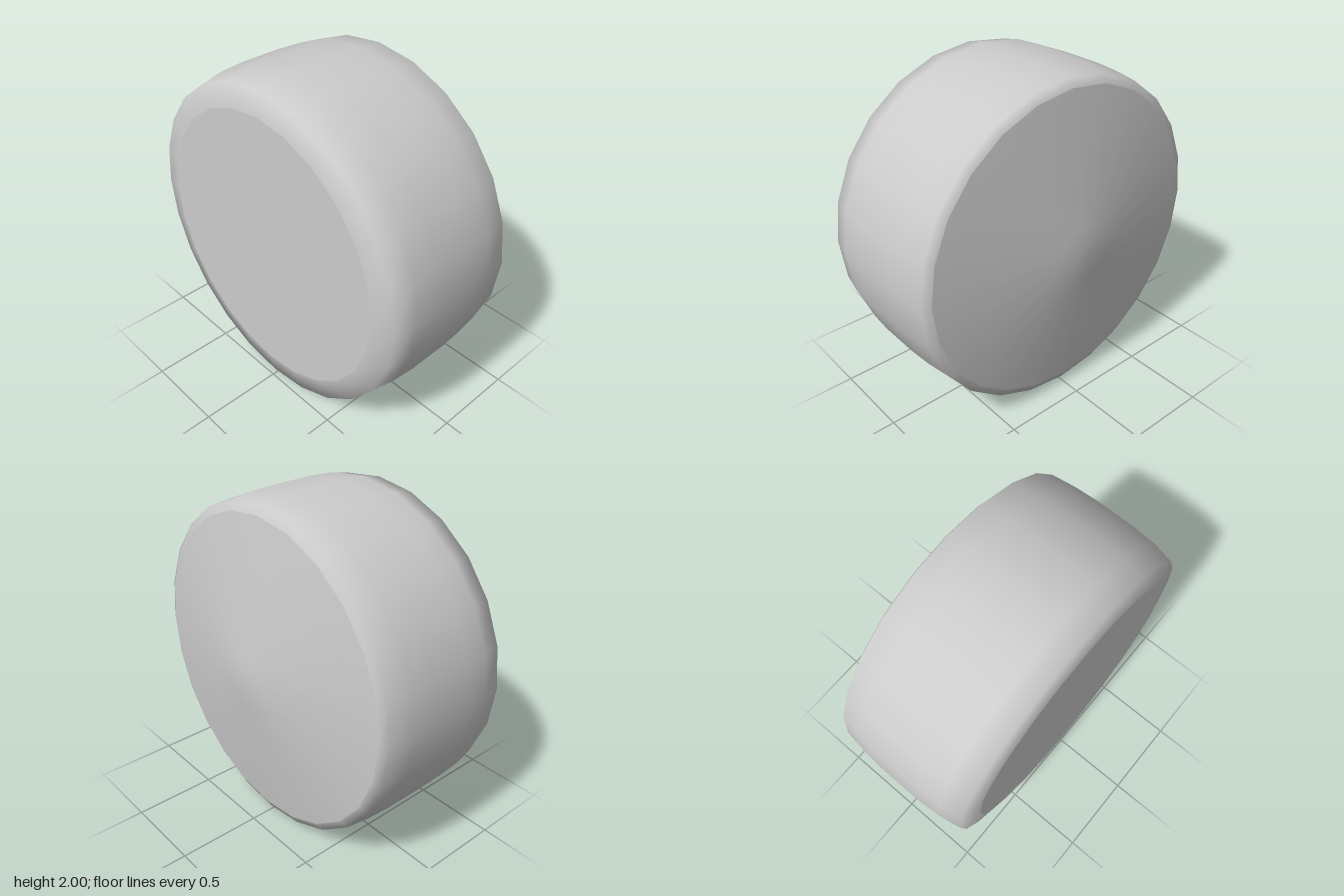
import * as THREE from 'three';

const SIDES = 24;

// Turns a profile of [radius, x] points around the x axis.
function turned(name, profile, material) {
  const geometry = new THREE.LatheGeometry(profile.map(([r, x]) => new THREE.Vector2(r, x)), SIDES);
  geometry.rotateZ(-Math.PI / 2);
  const mesh = new THREE.Mesh(geometry, material);
  mesh.name = name;
  return mesh;
}

export function createModel() {
  const model = new THREE.Group();
  model.name = 'wheel';
  const material = new THREE.MeshStandardMaterial({ color: 0xcccccc });

  // Flat inner face
  model.add(turned('innerFace', [[0, -0.51], [0.83, -0.51]], material));

  // Tread with rounded shoulders
  model.add(turned('tread', [
    [0.83, -0.51], [0.963, -0.483], [0.99, -0.35], [1, -0.2],
    [1, 0.06], [0.992, 0.21], [0.974, 0.36], [0.925, 0.386],
  ], material));

  // Shallow cone on the outer side, with a small blunt hub
  model.add(turned('outerCone', [[0.925, 0.386], [0.175, 0.506], [0, 0.51]], material));

  model.position.y = 1;
  const root = new THREE.Group();
  root.name = 'wheelModel';
  root.add(model);
  return root;
}
